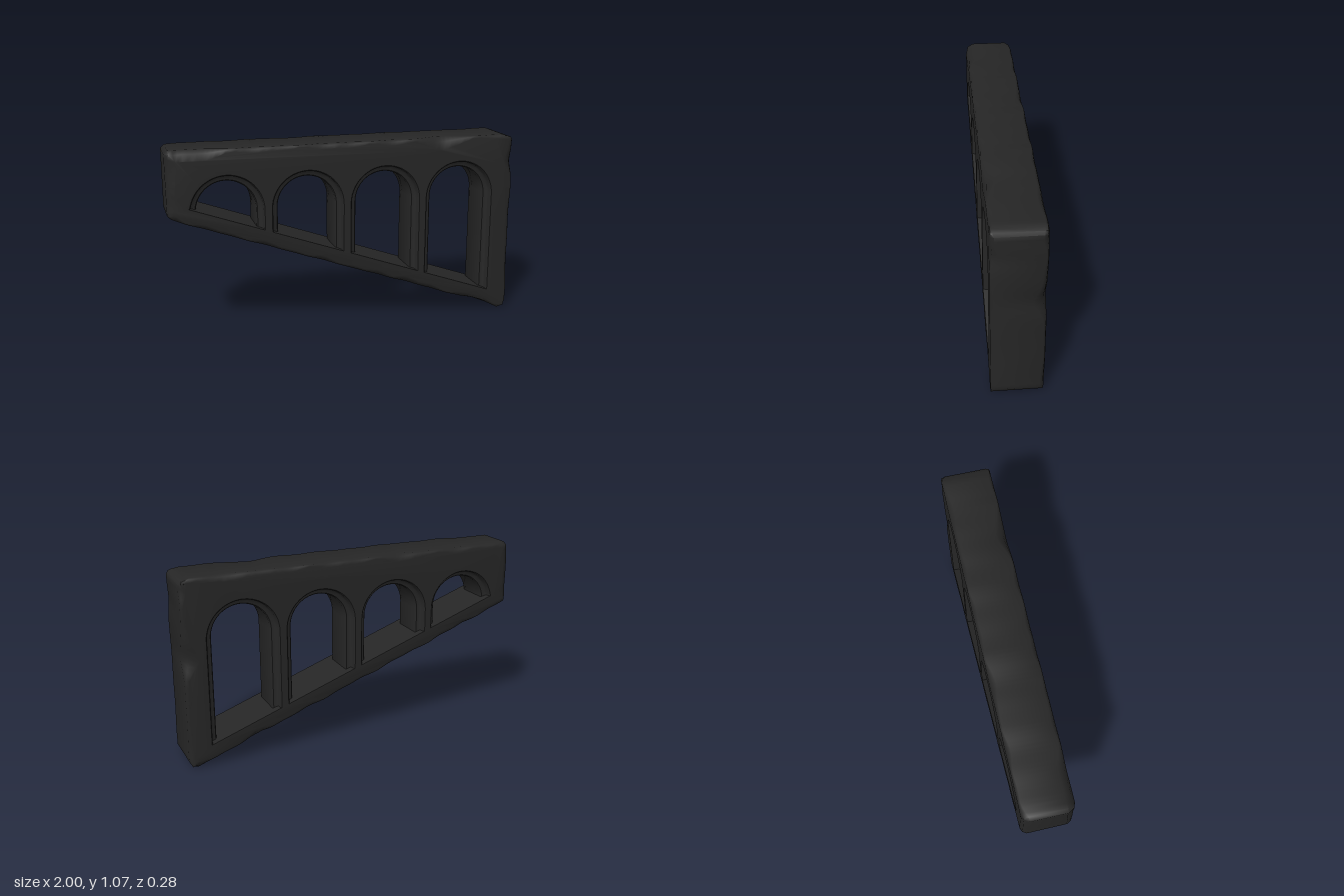
import * as THREE from 'three';
import { mergeGeometries, toCreasedNormals } from 'three/addons/utils/BufferGeometryUtils.js';

const D = 0.14, TOP = 1.065, SPRING = 0.72;
const CENTRES = [-0.68, -0.23, 0.22, 0.67];
const underside = (x) => 0.345 - 0.355 * x;
const sill = (x) => 0.435 - 0.355 * x;
const clamp = THREE.MathUtils.clamp;

// Worn spots on the outer edges: x, y, side (front 1, back -1), radius, depth
const CHIPS = [
  [-0.85, TOP, 1, 0.22, 0.035], [0.55, TOP, 1, 0.12, 0.055], [0, TOP, 1, 0.08, 0.012],
  [1, 0.9, 1, 0.08, 0.03], [0.35, 0.22, 1, 0.1, 0.02], [0.8, 0.06, 1, 0.1, 0.02],
  [1, 0.62, -1, 0.11, 0.06], [1, 1.0, -1, 0.07, 0.02], [0.6, 0.13, -1, 0.1, 0.02],
  [-0.3, TOP, -1, 0.1, 0.015], [0.7, TOP, -1, 0.1, 0.02], [-0.7, 0.59, -1, 0.1, 0.015],
];

// Width of the worn edge at a point of the outline
function wear(x, y, side) {
  const s = x - 0.6 * y + side * 3;
  let e = 0.019 + 0.006 * Math.sin(s * 17 + side) + 0.005 * Math.sin(s * 31 + 2);
  for (const [cx, cy, cs, r, depth] of CHIPS) {
    if (cs === side) e += depth * Math.exp(-((x - cx) ** 2 + (y - cy) ** 2) / (r * r) * 2);
  }
  e += 0.022 * clamp((-0.9 - x) * 10, 0, 1);
  return Math.min(e, y < underside(x) + 0.05 && x < 0.9 ? 0.036 : 0.09);
}

// Outer outline, counter-clockwise, sampled finely enough to carry the wear
function makeOutline() {
  const corners = [[-1, 0.715], [-0.98, 0.693], [0.72, 0.089], [0.78, 0.075], [0.88, 0.035], [0.95, 0],
    [0.985, 0.012], [1, 0.04], [1, 1.035], [0.985, 1.05], [0.94, TOP], [-0.98, TOP], [-1, 1.045]];
  const pts = [];
  corners.forEach(([x, y], i) => {
    const [x2, y2] = corners[(i + 1) % corners.length];
    const n = Math.max(1, Math.round(Math.hypot(x2 - x, y2 - y) / 0.025));
    for (let k = 0; k < n; k++) pts.push([x + (x2 - x) * k / n, y + (y2 - y) * k / n]);
  });
  return pts;
}

// Outline drawn inwards by a share of the wear and set back from one face
function wornRing(outline, side, inset, setback) {
  return outline.map(([x, y]) => {
    const e = wear(x, y, side);
    const z = side * (D - setback * e * 0.85);
    if (inset === 0) return [x, y, z];
    const d = e * inset;
    const px = clamp(x, -1 + d, 1 - d);
    return [px, clamp(y, underside(px) + d, TOP - d), z];
  });
}

// Arched opening with a sloping sill, clockwise
function archRing(c, r, z) {
  const pts = [[c - r, sill(c - r), z], [c + r, sill(c + r), z]];
  for (let i = 0; i <= 28; i++) {
    const a = Math.PI * i / 28;
    const x = c + r * Math.cos(a);
    pts.push([x, Math.max(SPRING + r * Math.sin(a), sill(x) + 0.004), z]);
  }
  return pts.reverse();
}

// Skin over a list of closed rings running from front to back
function loft(rings) {
  const n = rings[0].length, index = [];
  for (let i = 0; i < rings.length - 1; i++) {
    for (let j = 0; j < n; j++) {
      const a = i * n + j, b = i * n + (j + 1) % n;
      index.push(a, a + n, b, b, a + n, b + n);
    }
  }
  const g = new THREE.BufferGeometry();
  g.setAttribute('position', new THREE.Float32BufferAttribute(rings.flat(2), 3));
  g.setIndex(index);
  g.computeVertexNormals();
  return g.toNonIndexed();
}

// Flat wall face with four arched holes
function wallFace(ring, side) {
  const to2 = (pts) => pts.map(([x, y]) => new THREE.Vector2(x, y));
  const shape = new THREE.Shape(to2(ring));
  for (const c of CENTRES) shape.holes.push(new THREE.Path(to2(archRing(c, 0.205, 0))));
  const g = new THREE.ShapeGeometry(shape);
  g.translate(0, 0, side * D);
  if (side < 0) g.setIndex(Array.from(g.index.array).reverse());
  g.deleteAttribute('uv');
  g.computeVertexNormals();
  return g.toNonIndexed();
}

export function createModel() {
  const group = new THREE.Group();
  group.name = 'archedWall';
  const material = new THREE.MeshStandardMaterial({ color: 0x262626 });
  const add = (name, geometry, crease) => {
    const mesh = new THREE.Mesh(toCreasedNormals(geometry, crease), material);
    mesh.name = name;
    group.add(mesh);
  };

  // Tapering wall with worn edges
  const outline = makeOutline();
  const steps = [[1, 0], [0.35, 0.3], [0, 1]];
  const front = steps.map(([i, s]) => wornRing(outline, 1, i, s));
  const back = steps.map(([i, s]) => wornRing(outline, -1, i, s)).reverse();
  add('wall', mergeGeometries([
    loft([...front, ...back]), wallFace(front[0], 1), wallFace(back[2], -1),
  ]), 0.8);

  // Stepped linings of the arches, the same on both faces
  const profile = [[0.205, D], [0.199, 0.133], [0.197, 0.105], [0.192, 0.1], [0.171, 0.098], [0.165, 0.09]];
  const full = [...profile, ...profile.map(([r, z]) => [r, -z]).reverse()];
  CENTRES.forEach((c, i) => {
    add(`archLining${i + 1}`, loft(full.map(([r, z]) => archRing(c, r, z))), 0.8);
  });
  return group;
}
